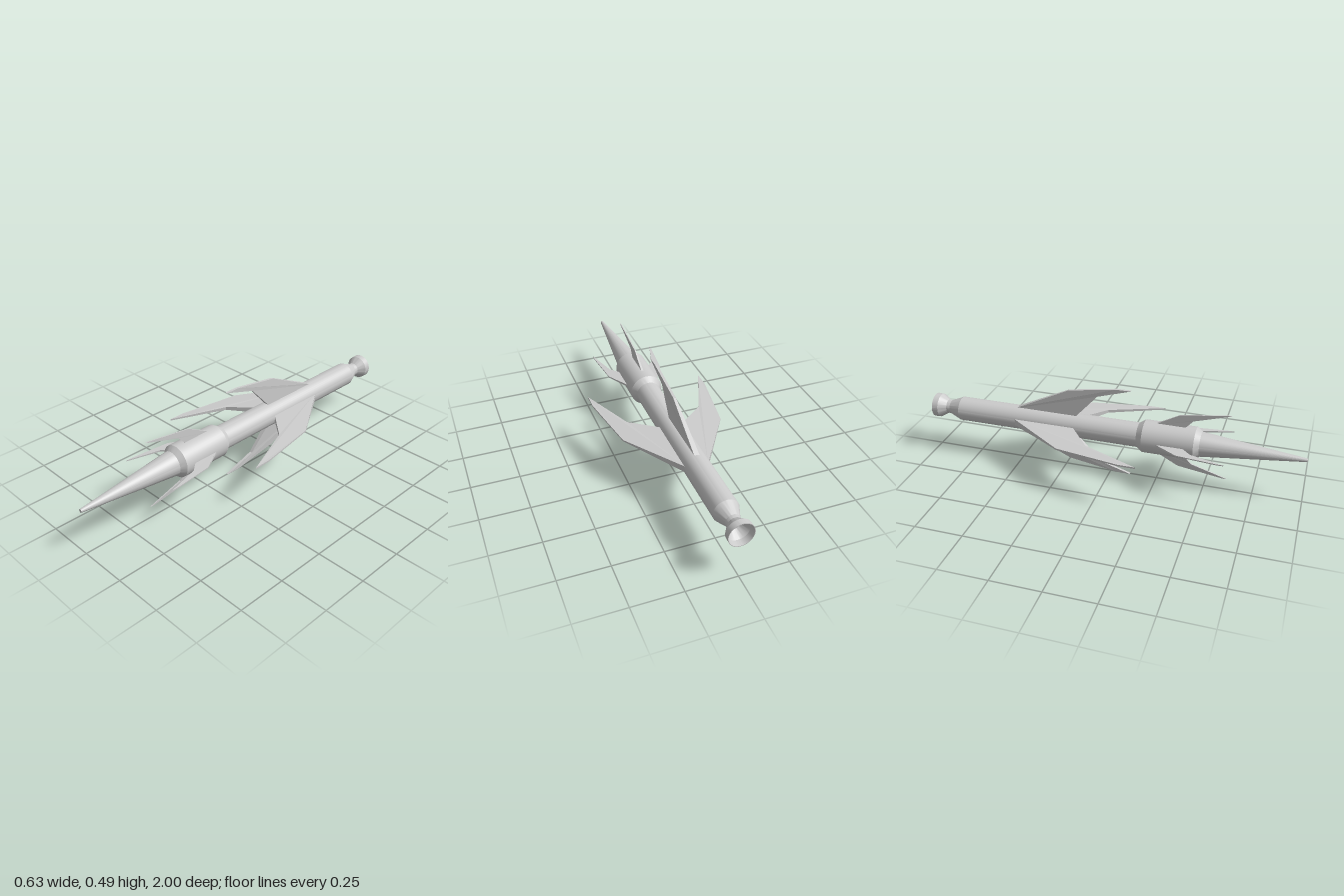
import * as THREE from 'three';
import { toCreasedNormals } from 'three/addons/utils/BufferGeometryUtils.js';

const material = new THREE.MeshStandardMaterial({ color: 0xcccccc });
const AXIS_Y = 0.244;

// Round part along z from [radius, z] pairs, listed from back to front
function turned(name, points) {
  const profile = points.map(([r, z]) => new THREE.Vector2(r, z));
  const geometry = new THREE.LatheGeometry(profile, 40).rotateX(Math.PI / 2);
  const mesh = new THREE.Mesh(toCreasedNormals(geometry, 0.3), material);
  mesh.name = name;
  return mesh;
}

// Swept fin from [radius, z] corners; half thickness falls from root to tip
function fin(name, corners, rootHalf, tipHalf, rRoot, rThin, angle) {
  const shape = new THREE.Shape(corners.map(([r, z]) => new THREE.Vector2(r, z)));
  const geometry = new THREE.ExtrudeGeometry(shape, { depth: 1, bevelEnabled: false });
  const pos = geometry.attributes.position;
  for (let i = 0; i < pos.count; i++) {
    const t = THREE.MathUtils.clamp((pos.getX(i) - rRoot) / (rThin - rRoot), 0, 1);
    const half = THREE.MathUtils.lerp(rootHalf, tipHalf, t);
    pos.setZ(i, pos.getZ(i) > 0.5 ? half : -half);
  }
  geometry.rotateX(Math.PI / 2);
  geometry.computeVertexNormals();
  const mesh = new THREE.Mesh(geometry, material);
  mesh.name = name;
  mesh.rotation.z = angle;
  return mesh;
}

export function createModel() {
  const model = new THREE.Group();
  model.name = 'missile';
  const body = new THREE.Group();
  body.name = 'body';
  body.position.y = AXIS_Y;
  model.add(body);

  // Hollow nozzle, tube, collar and nose
  body.add(
    turned('nozzle', [
      [0, -0.925], [0.032, -0.925], [0.057, -0.967], [0.061, -1], [0.064, -1],
      [0.063, -0.968], [0.037, -0.928], [0.037, -0.908], [0.064, -0.842],
    ]),
    turned('tube', [[0.064, -0.842], [0.064, 0.15]]),
    turned('collar', [[0.064, 0.15], [0.085, 0.182], [0.085, 0.448], [0.064, 0.475]]),
    turned('noseCone', [[0.064, 0.475], [0.009, 1], [0, 1]]),
  );

  // Corner lists run from the rear root out to the tip and back to the front root
  const wideMain = [[0.05, -0.53], [0.064, -0.51], [0.26, -0.206], [0.315, 0.127],
    [0.315, 0.217], [0.196, -0.074], [0.064, -0.183], [0.05, -0.195]];
  const tallMain = [[0.05, -0.54], [0.064, -0.51], [0.202, -0.225], [0.243, 0.03],
    [0.244, 0.107], [0.189, -0.07], [0.064, -0.183], [0.05, -0.195]];
  const wideFront = [[0.07, 0.235], [0.085, 0.26], [0.15, 0.376], [0.171, 0.58],
    [0.171, 0.616], [0.124, 0.444], [0.085, 0.398], [0.07, 0.38]];
  const tallFront = [[0.07, 0.22], [0.085, 0.247], [0.147, 0.36], [0.182, 0.595],
    [0.182, 0.618], [0.125, 0.43], [0.085, 0.393], [0.07, 0.38]];

  ['left', 'top', 'right', 'bottom'].forEach((side, i) => {
    const angle = i * Math.PI / 2;
    const wide = i % 2 === 0;
    body.add(
      wide
        ? fin(side + 'MainFin', wideMain, 0.0165, 0.004, 0.064, 0.26, angle)
        : fin(side + 'MainFin', tallMain, 0.013, 0.0065, 0.064, 0.2, angle),
      fin(side + 'FrontFin', wide ? wideFront : tallFront, 0.006, 0.0025, 0.085, 0.16, angle),
    );
  });
  return model;
}
